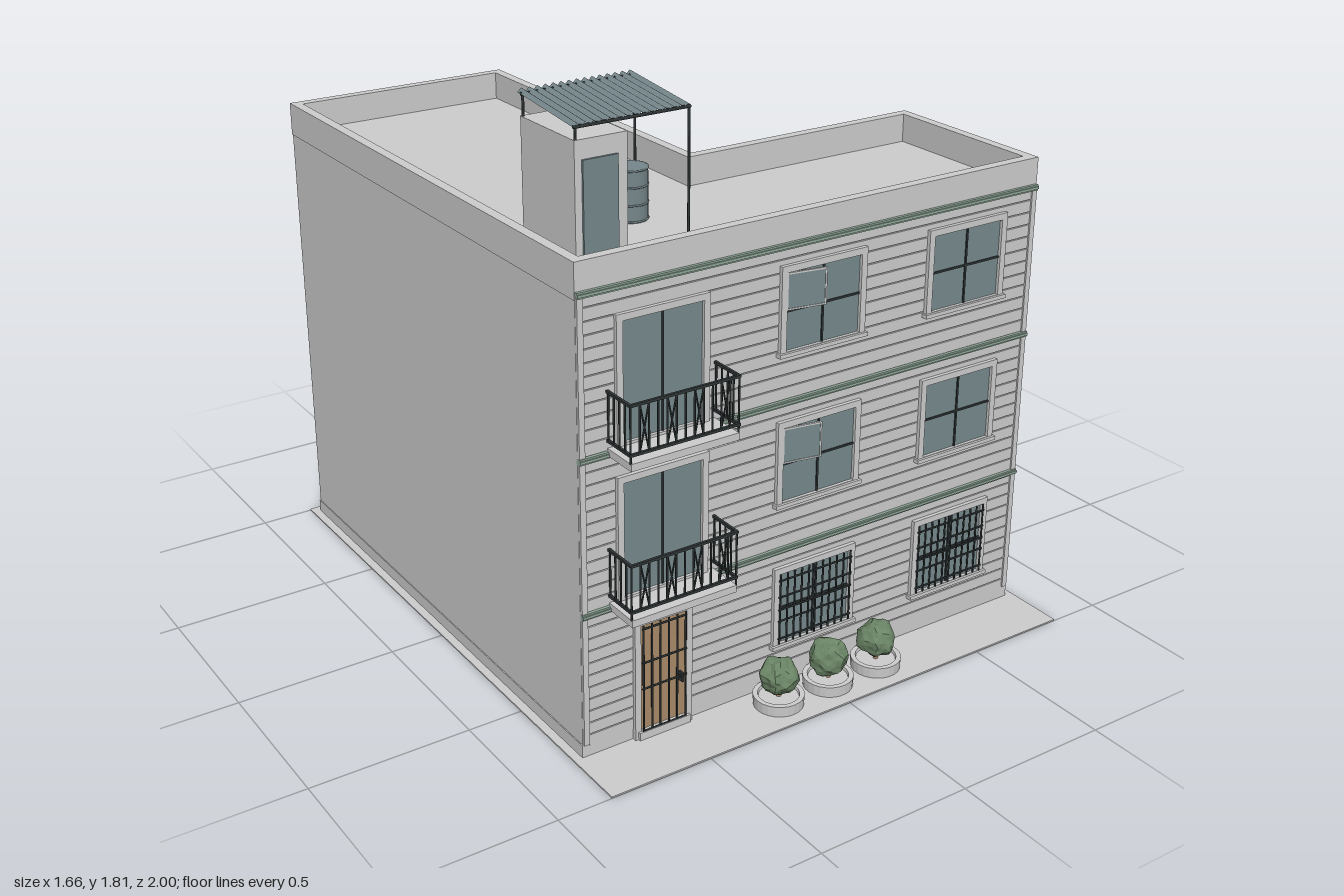
import * as THREE from 'three';

const mat = (color, extra = {}) => new THREE.MeshStandardMaterial({ color, ...extra });

export function createModel() {
  const root = new THREE.Group();
  const grey = mat(0xcccccc);
  const glass = mat(0x76888a);
  const trim = mat(0x8fa698);
  const iron = mat(0x2f3536);
  const wood = mat(0xa98a6a);
  const leaf = mat(0x6b8566, { flatShading: true });
  const steel = mat(0x75868a);

  const group = (name, parent = root) => {
    const g = new THREE.Group();
    g.name = name;
    parent.add(g);
    return g;
  };
  const add = (parent, name, geo, m) => {
    const mesh = new THREE.Mesh(geo, m);
    mesh.name = name;
    parent.add(mesh);
    return mesh;
  };
  // Box given by its limits
  const box = (parent, name, x0, x1, y0, y1, z0, z1, m = grey) => {
    const b = add(parent, name, new THREE.BoxGeometry(x1 - x0, y1 - y0, z1 - z0), m);
    b.position.set((x0 + x1) / 2, (y0 + y1) / 2, (z0 + z1) / 2);
    return b;
  };
  // Thin round bar between two points
  const bar = (parent, name, a, b, r = 0.003, m = iron) => {
    const p = new THREE.Vector3(...a), d = new THREE.Vector3(...b).sub(p);
    const c = add(parent, name, new THREE.CylinderGeometry(r, r, d.length(), 6), m);
    c.position.copy(p).addScaledVector(d, 0.5);
    c.quaternion.setFromUnitVectors(new THREE.Vector3(0, 1, 0), d.normalize());
    return c;
  };

  // L-shaped outline, seen from above, grown outward by d
  const outline = (d, Type = THREE.Shape) => new Type([
    [-0.8 - d, -0.8 - d], [0.8 + d, -0.8 - d], [0.8 + d, -0.2 + d],
    [-0.03 + d, -0.2 + d], [-0.03 + d, 0.97 + d], [-0.8 - d, 0.97 + d],
  ].map(([x, y]) => new THREE.Vector2(x, y)));
  const slab = (name, d, y0, y1, inner) => {
    const s = outline(d);
    if (inner !== undefined) s.holes.push(outline(inner, THREE.Path));
    const geo = new THREE.ExtrudeGeometry(s, { depth: y1 - y0, bevelEnabled: false });
    geo.rotateX(-Math.PI / 2).translate(0, y0, 0);
    return add(root, name, geo, grey);
  };

  // Ground plate (reaches further out at the front), body, plinth and parapet
  slab('groundPlate', 0.03, 0, 0.005);
  box(root, 'pavement', -0.83, 0.83, 0, 0.005, 0.83, 1);
  slab('walls', 0, 0.005, 1.4);
  slab('plinth', 0.003, 0.005, 0.045);
  slab('parapet', 0.002, 1.385, 1.49, -0.03);

  // Horizontal cladding, corner strips and floor bands on the front
  const facade = group('facade');
  for (let floor = 0; floor < 3; floor++) {
    const base = floor * 0.47;
    for (let i = floor ? 0 : 1; i < 12; i++) {
      const y = base + i * 0.0385;
      box(facade, 'claddingBoard', -0.78, 0.78, y, y + 0.035, 0.795, 0.805);
    }
    box(facade, 'floorBand', -0.8, 0.8, base + 0.45, base + 0.468, 0.795, 0.812, trim);
    box(facade, 'bandLip', -0.8, 0.8, base + 0.455, base + 0.463, 0.8, 0.816, trim);
  }
  for (const s of [-1, 1]) {
    box(facade, 'cornerStrip', s * 0.79 - 0.009, s * 0.79 + 0.009, 0.045, 1.39, 0.795, 0.809);
  }

  // Surround with an opening and a pane set inside it
  const surround = (parent, x0, x1, y0, y1, w, bottom) => {
    const s = new THREE.Shape();
    s.moveTo(x0, y0).lineTo(x1, y0).lineTo(x1, y1).lineTo(x0, y1).closePath();
    const h = new THREE.Path();
    h.moveTo(x0 + w, y0 + bottom).lineTo(x0 + w, y1 - w).lineTo(x1 - w, y1 - w).lineTo(x1 - w, y0 + bottom).closePath();
    s.holes.push(h);
    const geo = new THREE.ExtrudeGeometry(s, { depth: 0.02, bevelEnabled: false });
    add(parent, 'surround', geo.translate(0, 0, 0.797), grey);
  };

  // Windows: four panes each, bars at street level, one vent sash ajar above
  for (let floor = 0; floor < 3; floor++) {
    for (const cx of [0, 0.53]) {
      const w = group('window');
      w.position.set(cx, 0.14 + floor * 0.47, 0);
      surround(w, -0.15, 0.15, 0, 0.265, 0.02, 0.01);
      box(w, 'sill', -0.156, 0.156, -0.004, 0.008, 0.797, 0.825);
      box(w, 'pane', -0.13, 0.13, 0.01, 0.245, 0.797, 0.807, glass);
      box(w, 'mullion', -0.003, 0.003, 0.01, 0.245, 0.805, 0.811, iron);
      box(w, 'transom', -0.13, 0.13, 0.125, 0.131, 0.805, 0.811, iron);
      if (floor === 0) {
        for (let i = 0; i < 11; i++) {
          const x = -0.13 + i * 0.026;
          bar(w, 'securityBar', [x, 0.012, 0.82], [x, 0.246, 0.82]);
        }
        for (const y of [0.03, 0.09, 0.128, 0.17, 0.225]) {
          bar(w, 'securityRail', [-0.135, y, 0.82], [0.135, y, 0.82]);
        }
      } else if (cx === 0) {
        const sash = group('ventSash', w);
        sash.position.set(-0.13, 0.132, 0.808);
        sash.rotation.y = -0.17;
        box(sash, 'sashPane', 0.003, 0.122, 0.003, 0.108, 0, 0.004, glass);
        for (const y of [0, 0.106]) box(sash, 'sashRail', 0, 0.125, y, y + 0.005, -0.001, 0.006);
        for (const x of [0, 0.12]) box(sash, 'sashStile', x, x + 0.005, 0, 0.111, -0.001, 0.006);
      }
    }
  }

  // Balconies with glazed double doors
  for (const y of [0.455, 0.925]) {
    const b = group('balcony');
    b.position.y = y;
    surround(b, -0.686, -0.388, 0.02, 0.4, 0.02, 0.01);
    box(b, 'balconyDoorPane', -0.666, -0.408, 0.03, 0.38, 0.797, 0.807, glass);
    box(b, 'meetingStile', -0.54, -0.534, 0.03, 0.38, 0.805, 0.811, iron);
    box(b, 'balconySlab', -0.71, -0.364, 0, 0.022, 0.797, 0.922);
    const [l, r, f, lo, hi] = [-0.709, -0.363, 0.917, 0.045, 0.187];
    for (const h of [lo, hi]) {
      box(b, 'frontRail', l - 0.004, r + 0.004, h - 0.004, h + 0.004, f - 0.004, f + 0.004, iron);
      for (const x of [l, r]) box(b, 'sideRail', x - 0.004, x + 0.004, h - 0.004, h + 0.004, 0.8, f, iron);
    }
    const n = 12, step = (r - l) / n;
    for (let i = 0; i <= n; i++) {
      const x = l + i * step;
      bar(b, 'baluster', [x, i % n ? lo : 0.02, f], [x, hi, f]);
      if (i % 3 === 1) {
        bar(b, 'crossBar', [x, lo, f], [x + step, hi, f], 0.0025);
        bar(b, 'crossBar', [x, hi, f], [x + step, lo, f], 0.0025);
      }
    }
    for (const x of [l, r]) {
      for (let i = 0; i < 4; i++) bar(b, 'sideBaluster', [x, lo, 0.81 + i * 0.027], [x, hi, 0.81 + i * 0.027]);
    }
  }

  // Street door behind an iron grille
  const door = group('streetDoor');
  surround(door, -0.634, -0.44, 0.005, 0.395, 0.02, 0.01);
  box(door, 'doorLeaf', -0.614, -0.46, 0.01, 0.375, 0.797, 0.808, wood);
  box(door, 'doorStep', -0.624, -0.45, 0.005, 0.03, 0.797, 0.825);
  for (let i = 0; i < 6; i++) {
    const x = -0.608 + i * 0.0285;
    bar(door, 'grilleBar', [x, 0.015, 0.82], [x, 0.375, 0.82]);
  }
  for (const y of [0.03, 0.17, 0.255, 0.365]) bar(door, 'grilleRail', [-0.612, y, 0.82], [-0.462, y, 0.82]);
  box(door, 'doorHandle', -0.481, -0.475, 0.15, 0.18, 0.808, 0.826, iron);

  // Round planters with clipped, lumpy bushes
  const pot = [[0, 0], [0.075, 0], [0.077, 0.035], [0.062, 0.035], [0.06, 0.026], [0, 0.026]];
  [-0.18, 0.004, 0.188].forEach((x, k) => {
    const p = group('planter');
    p.position.set(x, 0.004, 0.888);
    p.rotation.y = k * 1.9;
    add(p, 'pot', new THREE.LatheGeometry(pot.map((q) => new THREE.Vector2(...q)), 24),
      mat(0xcccccc, { flatShading: true }));
    bar(p, 'stem', [0, 0.02, 0], [0, 0.08, 0], 0.008, wood);
    const geo = new THREE.IcosahedronGeometry(0.057, 3);
    const pos = geo.attributes.position, v = new THREE.Vector3();
    for (let i = 0; i < pos.count; i++) {
      v.fromBufferAttribute(pos, i);
      const s = 1 + 0.08 * Math.sin(v.x * 95 + k) * Math.sin(v.y * 110) + 0.06 * Math.sin(v.z * 130 + v.x * 60);
      pos.setXYZ(i, v.x * s, v.y * s, v.z * s);
    }
    geo.computeVertexNormals();
    add(p, 'bush', geo, leaf).position.y = 0.095;
  });

  // Stair house on the roof
  const hut = group('stairHouse');
  box(hut, 'hutBody', -0.672, -0.508, 1.4, 1.735, 0.318, 0.598);
  box(hut, 'hutDoor', -0.65, -0.54, 1.4, 1.68, 0.59, 0.605, steel);

  // Corrugated canopy sloping down to the front, on thin posts
  const canopy = group('canopy');
  const sheet = new THREE.PlaneGeometry(0.372, 0.29, 90, 1).rotateX(-Math.PI / 2);
  const sp = sheet.attributes.position;
  for (let i = 0; i < sp.count; i++) {
    sp.setY(i, 0.005 * Math.cos(sp.getX(i) / 0.372 * Math.PI * 30) - sp.getZ(i) * 0.1);
  }
  sheet.computeVertexNormals();
  add(canopy, 'corrugatedSheet', sheet, mat(0x75868a, { side: THREE.DoubleSide })).position.set(-0.488, 1.79, 0.455);
  for (const [z, top] of [[0.594, 1.77], [0.324, 1.797]]) {
    bar(canopy, 'tallPost', [-0.308, 1.4, z], [-0.308, top, z], 0.004);
    bar(canopy, 'shortPost', [-0.666, 1.73, z], [-0.666, top, z], 0.004);
    bar(canopy, 'crossBeam', [-0.672, top, z], [-0.304, top, z], 0.005);
  }
  for (const x of [-0.308, -0.666]) bar(canopy, 'rafter', [x, 1.77, 0.594], [x, 1.797, 0.324], 0.004);

  // Ribbed water drum
  const drum = group('waterDrum');
  drum.position.set(-0.358, 1.4, 0.378);
  add(drum, 'drumBody', new THREE.CylinderGeometry(0.05, 0.05, 0.155, 24), steel).position.y = 0.0775;
  for (const y of [0.004, 0.052, 0.104, 0.153]) {
    const hoop = add(drum, 'drumHoop', new THREE.TorusGeometry(0.05, 0.003, 6, 24), steel);
    hoop.rotation.x = Math.PI / 2;
    hoop.position.y = y;
  }
  return root;
}
